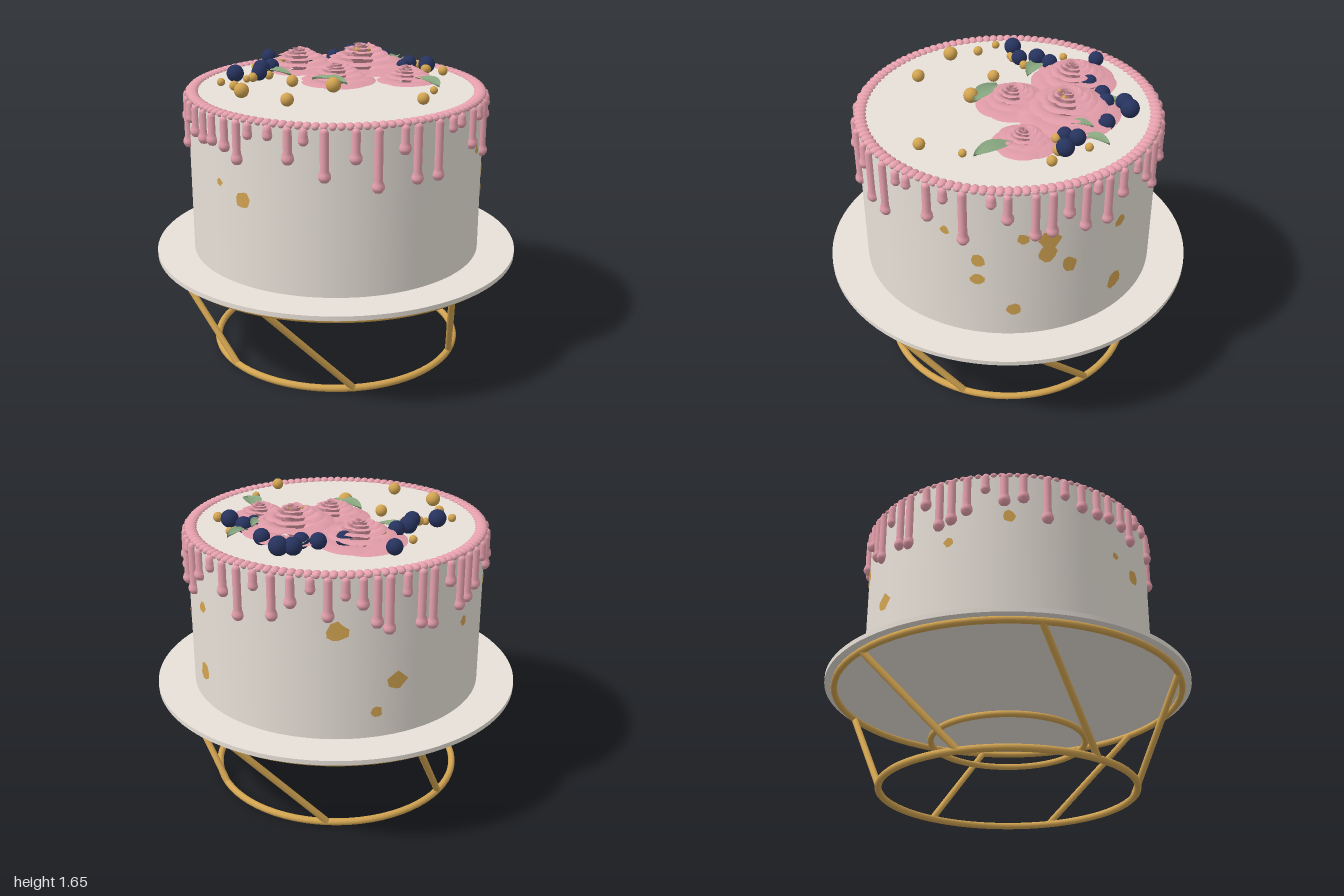
import * as THREE from 'three';

const mat = (name, color, side = THREE.FrontSide) =>
  Object.assign(new THREE.MeshStandardMaterial({ color, side }), { name });

export function createModel() {
  const cream = mat('cream', 0xe9e2d9);
  const gold = mat('gold', 0xd2a451);
  const pink = mat('pink icing', 0xe6a1ad);
  const rosePink = mat('rose pink', 0xdf9ba7, THREE.DoubleSide);
  const navy = mat('berry navy', 0x27335e);
  const green = mat('leaf green', 0x87a57f, THREE.DoubleSide);

  const root = new THREE.Group();
  root.name = 'dripCakeOnStand';
  const group = (name, parent = root) => {
    const g = new THREE.Group();
    g.name = name;
    parent.add(g);
    return g;
  };
  const add = (parent, name, geo, material, x = 0, y = 0, z = 0) => {
    const m = new THREE.Mesh(geo, material);
    m.name = name;
    m.position.set(x, y, z);
    parent.add(m);
    return m;
  };
  let seed = 7;
  const rand = () => (seed = (seed * 16807) % 2147483647) / 2147483647;
  const rad = THREE.MathUtils.degToRad;
  // Angles run from the front (+z) towards +x
  const polar = (deg, r, y) =>
    new THREE.Vector3(r * Math.sin(rad(deg)), y, r * Math.cos(rad(deg)));

  // Grid surface from a function of u, v in 0..1
  const surface = (nu, nv, fn) => {
    const geo = new THREE.PlaneGeometry(1, 1, nu, nv);
    const p = geo.attributes.position;
    for (let i = 0; i < p.count; i++) p.setXYZ(i, ...fn(p.getX(i) + 0.5, p.getY(i) + 0.5));
    geo.computeVertexNormals();
    return geo;
  };

  // Wire stand: three rings and six slanted struts
  const stand = group('stand');
  for (const [name, r, y, t] of [
    ['baseRing', 0.683, 0.02, 0.019],
    ['middleRing', 0.417, 0.295, 0.017],
    ['topRing', 0.948, 0.556, 0.018],
  ]) add(stand, name, new THREE.TorusGeometry(r, t, 12, 72), gold, 0, y, 0).rotation.x = Math.PI / 2;
  for (let i = 0; i < 6; i++) {
    const a = 30 + i * 60;
    const path = new THREE.LineCurve3(polar(a, 0.948, 0.556), polar(a + 30, 0.683, 0.02));
    add(stand, 'strut', new THREE.TubeGeometry(path, 1, 0.018, 12), gold);
  }

  // Plate and cake
  add(root, 'plate', new THREE.CylinderGeometry(1, 1, 0.025, 96), cream, 0, 0.585, 0);
  add(root, 'cake', new THREE.CylinderGeometry(0.795, 0.795, 0.88, 96), cream, 0, 1.035, 0);

  // Piped bead border
  const border = group('beadBorder');
  const bead = new THREE.SphereGeometry(1, 12, 8);
  for (let i = 0; i < 120; i++) {
    const m = add(border, 'bead', bead, pink);
    m.position.copy(polar(i * 3, 0.772, 1.473));
    m.scale.set(0.024, 0.019, 0.034);
    m.rotation.y = rad(i * 3);
  }

  // Icing drips: [angle, lower end]
  const drips = group('drips');
  const dripList = [
    [-51, 1.29], [-45, 1.24], [-40, 1.38], [-32, 1.39], [-24.6, 1.28], [-19, 1.38], [-11.8, 1.2],
    [-1.1, 1.29], [6.8, 1.14], [16.5, 1.32], [21.7, 1.16], [31, 1.155], [38, 1.38], [43, 1.39],
    [51.6, 1.25], [58, 1.38], [65, 1.16], [75, 1.39], [80.5, 1.3], [90, 1.2], [96, 1.21],
    [102, 1.3], [108.5, 1.2], [113, 1.39], [118, 1.19], [125, 1.3], [133, 1.38], [140, 1.28],
    [147, 1.18], [154, 1.36], [161, 1.22], [168, 1.3], [175, 1.38], [181, 1.24], [187, 1.35],
    [193, 1.3], [198, 1.2], [202.5, 1.16], [209, 1.34], [215, 1.16], [220, 1.14], [228, 1.33],
    [234, 1.18], [239, 1.2], [245, 1.24], [252, 1.36], [259, 1.28], [266, 1.3], [275, 1.19],
    [282, 1.35], [289, 1.3], [296, 1.29], [302, 1.3],
  ];
  for (const [deg, low] of dripList) {
    const b = low < 1.34 ? 0.032 : 0.026, s = 0.022, top = 1.472;
    const profile = [
      [0, low], [b * 0.6, low + b * 0.2], [b * 0.95, low + b * 0.7], [b, low + b],
      [b * 0.93, low + b * 1.45], [s, low + b * 2], [s, top - 0.02], [s * 0.7, top - 0.005], [0, top],
    ].map(([x, y]) => new THREE.Vector2(x, y));
    const p = polar(deg, 0.8, 0);
    add(drips, 'drip', new THREE.LatheGeometry(profile, 14), pink, p.x, 0, p.z);
  }

  // Gold leaf flakes on the side: [angle, height, size]
  const flakes = group('goldFlakes');
  for (const [deg, y, size] of [
    [-54.8, 1.12, 0.022], [-43, 1.06, 0.046], [58, 1.22, 0.026], [70, 1.07, 0.04], [70, 0.95, 0.04],
    [83, 0.76, 0.04], [86, 1.21, 0.03], [95.5, 1.18, 0.06], [94.5, 1.1, 0.05], [103, 1.01, 0.045],
    [124, 0.78, 0.055], [125, 1.15, 0.035], [184, 1.19, 0.055], [206, 0.9, 0.055], [198.5, 0.74, 0.03],
    [238, 1.1, 0.026], [261, 1.22, 0.037],
  ]) {
    const pts = [polar(deg, 0.7985, y)];
    const index = [];
    for (let i = 0; i < 9; i++) {
      const a = (i + rand() * 0.5) / 9 * Math.PI * 2, r = size * (0.75 + rand() * 0.4);
      pts.push(polar(deg + (Math.cos(a) * r) / 0.8 * 57.3, 0.7985, y + Math.sin(a) * r));
      index.push(0, i + 1, ((i + 1) % 9) + 1);
    }
    const geo = new THREE.BufferGeometry().setFromPoints(pts);
    geo.setIndex(index);
    geo.computeVertexNormals();
    add(flakes, 'flake', geo, gold);
  }

  // Roses: [x, z, radius, base height]; petals in rings from open to bud
  const roses = group('roses');
  // [petal count, half span, inner radius, outer radius, rim height, curl]
  const rings = [
    [5, 0.85, 0.1, 1.0, 0.2, 0.06], [5, 0.85, 0.1, 0.74, 0.34, 0.05], [5, 0.8, 0.1, 0.55, 0.44, 0.04],
    [5, 0.8, 0.08, 0.4, 0.52, 0.03], [4, 0.9, 0.06, 0.27, 0.57, 0.02], [3, 1.2, 0.04, 0.16, 0.6, 0],
    [2, 1.7, 0.02, 0.07, 0.6, 0],
  ];
  for (const [x, z, R, y] of [
    [-0.155, -0.385, 0.232, 1.475], [0.19, -0.28, 0.272, 1.485],
    [0.015, -0.03, 0.205, 1.475], [0.395, -0.02, 0.168, 1.475],
  ]) {
    const rose = group('rose', roses);
    rose.position.set(x, y, z);
    rose.scale.setScalar(R);
    rose.rotation.y = x * 9;
    rings.forEach(([n, span, r0, r1, h1, curl], k) => {
      const petal = surface(12, 8, (u, v) => {
        const s = u * 2 - 1;
        const reach = v * (1 - 0.14 * s * s * s * s);
        const a = s * span * Math.min(1, 0.55 + v);
        const r = r0 + (r1 - r0) * Math.pow(reach, 1.35) + 0.025 * s * reach;
        const h = h1 * Math.sin(reach * 1.75) - curl * Math.pow(v, 6) + 0.02 * s;
        return [r * Math.sin(a), Math.max(h, 0.01), r * Math.cos(a)];
      });
      for (let i = 0; i < n; i++)
        add(rose, 'petal', petal, rosePink).rotation.y = (i / n) * Math.PI * 2 + k * 0.7;
    });
  }

  // Leaves: [x, z, heading, length, width]
  const leaves = group('leaves');
  for (const [x, z, deg, len, w, y] of [
    [0.47, 0.15, 22, 0.22, 0.1, 1.515], [-0.05, 0.11, 50, 0.22, 0.1, 1.53], [0.47, -0.36, 140, 0.15, 0.07, 1.515],
    [-0.31, -0.2, 235, 0.2, 0.09, 1.51], [0.14, -0.5, 165, 0.2, 0.08, 1.52], [0.38, -0.3, 160, 0.13, 0.06, 1.55],
  ]) {
    const geo = surface(6, 10, (u, v) => {
      const s = u * 2 - 1;
      const half = (w / 2) * Math.pow(Math.sin(Math.PI * v), 0.75);
      return [s * half, 0.02 * Math.sin(Math.PI * v) + 0.012 * s * s, (v - 0.5) * len];
    });
    add(leaves, 'leaf', geo, green, x, y, z).rotation.y = rad(deg);
  }

  // Berries and sugar pearls: [x, z, radius]
  const ball = new THREE.SphereGeometry(1, 20, 14);
  const scatter = (name, material, list) => {
    const g = group(name + 's');
    for (const [x, z, r, y = 1.494 + r] of list)
      add(g, name, ball, material, x, y, z).scale.setScalar(r);
  };
  scatter('berry', navy, [
    [-0.32, -0.545, 0.042], [-0.325, -0.285, 0.043], [-0.385, -0.225, 0.047], [-0.535, -0.115, 0.047],
    [-0.405, -0.13, 0.043], [-0.07, -0.45, 0.042], [0.055, -0.49, 0.043], [0.14, -0.49, 0.043],
    [0.17, -0.58, 0.047], [0.24, -0.59, 0.05], [0.34, -0.445, 0.043], [0.455, -0.27, 0.043],
    [0.54, -0.19, 0.047], [0.41, -0.215, 0.038],
  ]);
  scatter('pearl', gold, [
    [-0.24, 0.04, 0.032], [-0.04, 0.19, 0.04], [-0.52, 0.24, 0.039], [-0.305, 0.44, 0.034],
    [0.37, 0.5, 0.031], [0.47, 0.3, 0.021], [-0.615, -0.03, 0.022], [-0.55, 0.08, 0.026],
    [0.615, -0.11, 0.027], [0.52, -0.315, 0.022], [-0.41, -0.38, 0.022], [-0.475, -0.09, 0.02],
    [-0.35, -0.145, 0.024], [-0.44, -0.1, 0.026], [0.53, -0.16, 0.03], [0.42, -0.17, 0.025],
    [-0.257, -0.385, 0.02, 1.55], [0.15, -0.24, 0.014, 1.625], [0.22, -0.25, 0.014, 1.625],
  ]);
  return root;
}
